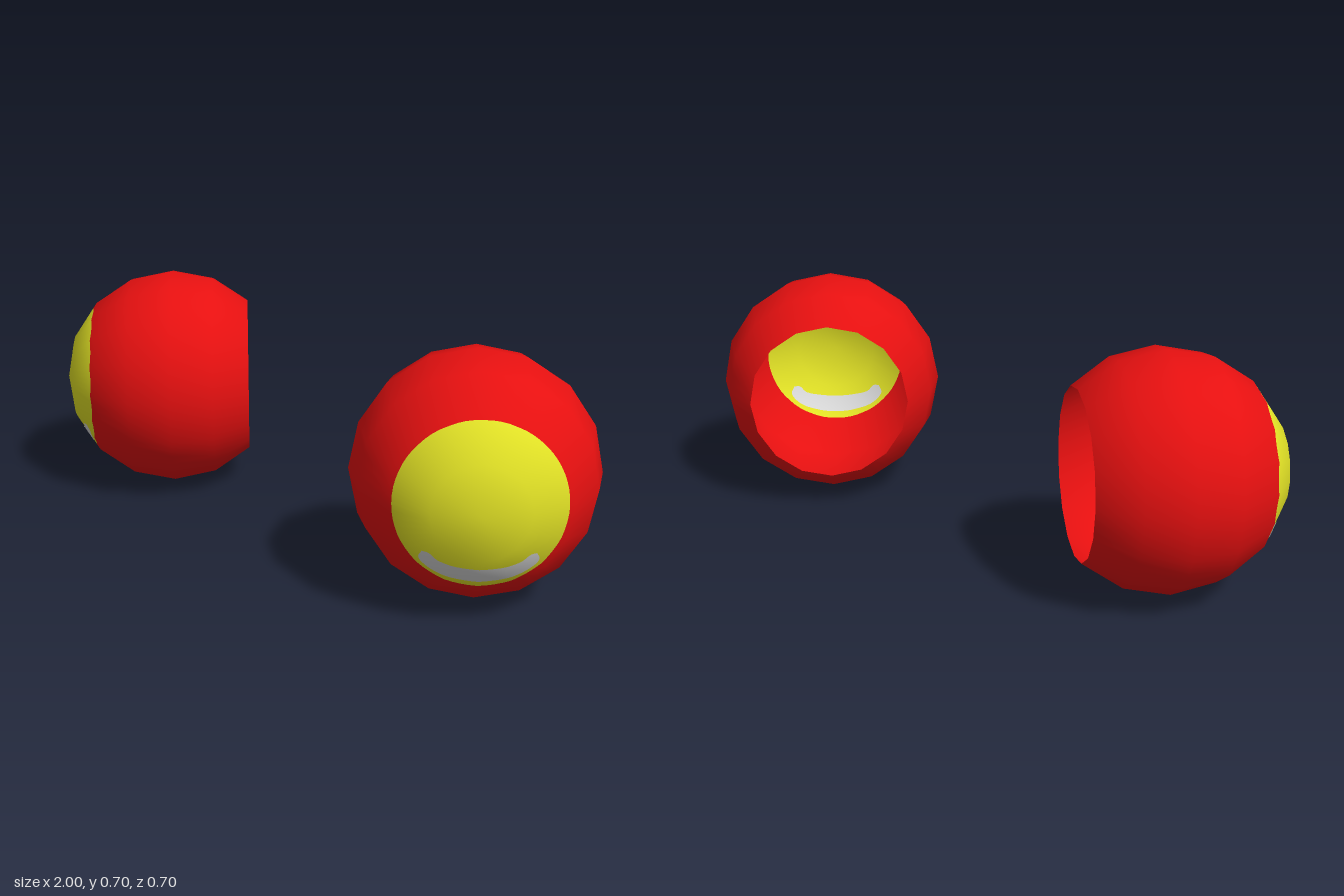
import * as THREE from 'three';

const R = 0.352;            // shell radius
const STEP = Math.PI / 8;   // facet angle: 16 sides round, 8 from pole to pole
const DISC = 0.2325;        // radius of the yellow disc
const COLS = 64;

const red = new THREE.MeshStandardMaterial({ name: 'red', color: 0xe61010, side: THREE.DoubleSide });
const yellow = new THREE.MeshStandardMaterial({ name: 'yellow', color: 0xe4e426, side: THREE.DoubleSide });
const grey = new THREE.MeshStandardMaterial({ name: 'light grey', color: 0xd8d8d8, side: THREE.DoubleSide });

// how far a flat facet pulls the surface in between its two corners
function facet(phi) {
  const off = ((phi % STEP) + STEP) % STEP - STEP / 2;
  return Math.cos(STEP / 2) / Math.cos(off);
}

// point on the faceted front cap above (u, v)
function onCap(u, v) {
  const r = Math.hypot(u, v) / facet(Math.atan2(v, u));
  const k = r < R * Math.sin(STEP) ? 0 : 1;
  const [a, b] = [k * STEP, (k + 1) * STEP];
  const t = (r / R - Math.sin(a)) / (Math.sin(b) - Math.sin(a));
  return new THREE.Vector3(u, v, R * THREE.MathUtils.lerp(Math.cos(a), Math.cos(b), t));
}

// ring of the faceted sphere at a polar angle
const ring = (theta) => (phi) => {
  const r = R * Math.sin(theta) * facet(phi);
  return new THREE.Vector3(r * Math.cos(phi), r * Math.sin(phi), R * Math.cos(theta));
};
const discEdge = (phi) => onCap(DISC * Math.cos(phi), DISC * Math.sin(phi));

// grid surface with smooth radial normals
function grid(rows, cols, point) {
  const pos = [], nor = [], idx = [];
  for (let i = 0; i <= rows; i++) {
    for (let j = 0; j <= cols; j++) {
      const p = point(i, j);
      pos.push(...p.toArray());
      nor.push(...p.clone().normalize().toArray());
      if (i < rows && j < cols) {
        const a = i * (cols + 1) + j, b = a + cols + 1;
        idx.push(a, b, a + 1, b, b + 1, a + 1);
      }
    }
  }
  const g = new THREE.BufferGeometry();
  g.setAttribute('position', new THREE.Float32BufferAttribute(pos, 3));
  g.setAttribute('normal', new THREE.Float32BufferAttribute(nor, 3));
  g.setIndex(idx);
  return g;
}

function loft(rings) {
  return grid(rings.length - 1, COLS, (i, j) => rings[i](j / COLS * Math.PI * 2));
}

// symmetric edge curve from its left half, ending on the middle point
function edge(half) {
  const right = half.slice(0, -1).reverse().map(([u, v]) => [-u, v]);
  return new THREE.CatmullRomCurve3([...half, ...right].map(([u, v]) => new THREE.Vector3(u, v, 0)));
}

// curved crescent lying just above or below the cap surface
function crescent(scale) {
  const lower = edge([[-0.15, -0.122], [-0.158, -0.145], [-0.115, -0.187], [0, -0.213]]);
  const upper = edge([[-0.15, -0.122], [-0.132, -0.124], [-0.105, -0.147], [0, -0.165]]);
  return grid(48, 6, (i, j) => {
    const p = lower.getPoint(i / 48).lerp(upper.getPoint(i / 48), j / 6);
    return onCap(p.x, p.y).multiplyScalar(scale);
  });
}

function part(name, geometry, material) {
  const m = new THREE.Mesh(geometry, material);
  m.name = name;
  return m;
}

export function createModel() {
  const model = new THREE.Group();
  model.name = 'pairOfOpenBalls';

  const shell = loft([discEdge, ...[2, 3, 4, 5, 6].map((k) => ring(k * STEP))]);
  const disc = loft([ring(0), ring(STEP), discEdge]);
  const outer = crescent(1.005), inner = crescent(0.995);

  // each ball faces forward and outward, with its open cut behind
  for (const side of [1, -1]) {
    const ball = new THREE.Group();
    ball.name = side > 0 ? 'leftBall' : 'rightBall';
    ball.add(
      part('shell', shell, red),
      part('frontDisc', disc, yellow),
      part('crescentOutside', outer, grey),
      part('crescentInside', inner, grey),
    );
    ball.position.set(side * 0.648, 0.353, 0);
    ball.rotation.y = side * THREE.MathUtils.degToRad(42.3);
    model.add(ball);
  }
  return model;
}
